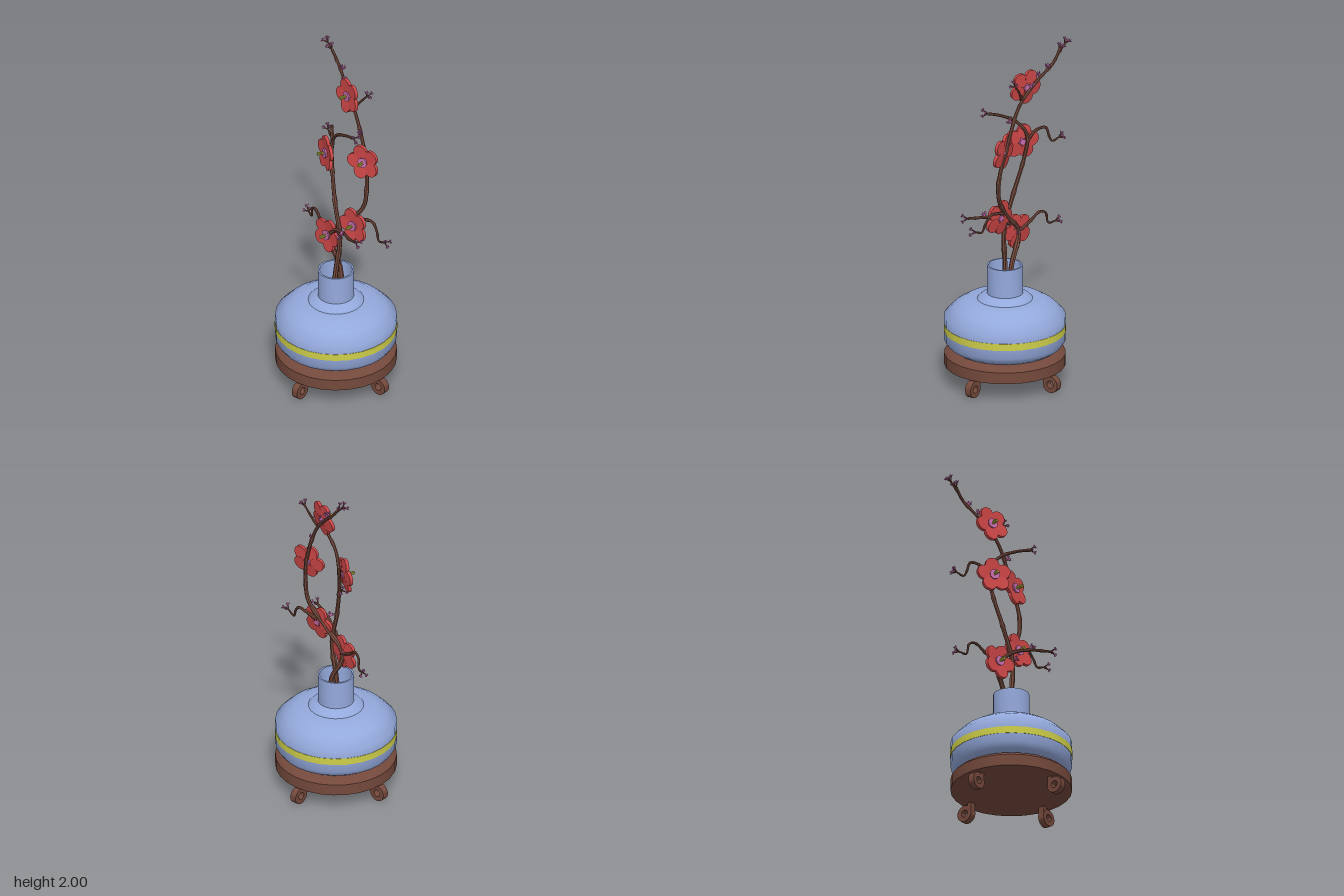
import * as THREE from 'three';
import { toCreasedNormals } from 'three/addons/utils/BufferGeometryUtils.js';

const paint = (color, extra = {}) => new THREE.MeshStandardMaterial({ color, ...extra });
const blue = paint(0x94a9dc, { side: THREE.DoubleSide });
const yellow = paint(0xcfcf4a);
const brown = paint(0x74493c);
const bark = paint(0x74493c, { flatShading: true });
const red = paint(0xcc4646);
const pink = paint(0xcc6fb0, { side: THREE.DoubleSide, flatShading: true });
const UP = new THREE.Vector3(0, 1, 0);
const vec = (p) => new THREE.Vector3(...p);

function add(parent, name, geometry, material) {
  const mesh = new THREE.Mesh(geometry, material);
  mesh.name = name;
  parent.add(mesh);
  return mesh;
}

function lathe(points, crease) {
  const g = new THREE.LatheGeometry(points.map((p) => new THREE.Vector2(...p)), 28);
  return crease ? toCreasedNormals(g, crease) : g;
}

// Tube that tapers from r0 to r1, with slight swellings like knots
function branchGeometry(curve, r0, r1, segments = 24, sides = 7) {
  const g = new THREE.TubeGeometry(curve, segments, 1, sides);
  const pos = g.attributes.position;
  const v = new THREE.Vector3();
  for (let i = 0; i < pos.count; i++) {
    const ring = Math.floor(i / (sides + 1));
    const t = ring / segments;
    const centre = curve.getPointAt(t);
    const knot = ring % 6 === 3 ? 1.25 : 1;
    v.fromBufferAttribute(pos, i).sub(centre).multiplyScalar((r0 + (r1 - r0) * t) * knot).add(centre);
    pos.setXYZ(i, v.x, v.y, v.z);
  }
  return g;
}

// Small bud: a flared cup with a crown of pointed petals, growing along +y
function makeBud(size) {
  const bud = new THREE.Group();
  bud.name = 'bud';
  add(bud, 'budCup', new THREE.CylinderGeometry(size * 0.8, size * 0.35, size, 6, 1, true).translate(0, size / 2, 0), pink);
  for (let i = 0; i < 6; i++) {
    const g = new THREE.ConeGeometry(size * 0.4, size * 1.1, 3);
    g.rotateZ(-0.4).translate(size * 0.85, size * 1.3, 0).rotateY(i * Math.PI / 3);
    add(bud, 'budPetal', g, pink);
  }
  return bud;
}

function placeBud(parent, p, dir, size = 0.013) {
  const bud = makeBud(size);
  bud.position.copy(p);
  bud.quaternion.setFromUnitVectors(UP, dir.clone().normalize());
  parent.add(bud);
}

// Three splayed twigs, each ending in a bud
function makeSpray(parent, at, dir) {
  const spray = new THREE.Group();
  spray.name = 'budSpray';
  for (let i = 0; i < 3; i++) {
    const a = i * Math.PI * 2 / 3;
    const d = new THREE.Vector3(Math.cos(a) * 0.7, 1, Math.sin(a) * 0.7).normalize();
    const end = d.clone().multiplyScalar(0.024);
    add(spray, 'twig', new THREE.TubeGeometry(new THREE.LineCurve3(new THREE.Vector3(), end), 1, 0.004, 5), bark);
    placeBud(spray, end, d, 0.010);
  }
  spray.position.copy(at);
  spray.quaternion.setFromUnitVectors(UP, dir);
  parent.add(spray);
}

function makeBranch(parent, name, points, r0, r1) {
  const curve = new THREE.CatmullRomCurve3(points.map(vec));
  add(parent, name, branchGeometry(curve, r0, r1, points.length * 5), bark);
  makeSpray(parent, curve.getPoint(1), curve.getTangent(1));
  return curve;
}

// Five-petalled blossom facing +y, with a pink heart and yellow stamens
function makeBlossom(parent, at, facing, spin) {
  const blossom = new THREE.Group();
  blossom.name = 'blossom';
  for (let i = 0; i < 5; i++) {
    const g = new THREE.CylinderGeometry(0.042, 0.042, 0.018, 18);
    g.rotateZ(0.12).translate(0.06, 0.004, 0).rotateY(spin + i * Math.PI * 0.4);
    add(blossom, 'petal', toCreasedNormals(g, 0.7), red);
  }
  add(blossom, 'heart', new THREE.CylinderGeometry(0.03, 0.018, 0.034, 8).translate(0, 0.004, 0), pink);
  for (let i = 0; i < 3; i++) {
    const g = new THREE.CylinderGeometry(0.005, 0.004, 0.04, 6).translate(0.006, 0.038, 0);
    add(blossom, 'stamen', g.rotateY(i * Math.PI * 2 / 3), yellow);
  }
  blossom.position.copy(vec(at));
  blossom.quaternion.setFromUnitVectors(UP, vec(facing).normalize());
  parent.add(blossom);
}

export function createModel() {
  const model = new THREE.Group();
  model.name = 'blossomVase';

  // Vase: rounded body, sloping collar, hollow neck and a band
  add(model, 'vaseBody', lathe([[0, 0.2], [0.285, 0.2], [0.315, 0.22], [0.335, 0.25], [0.335, 0.39],
    [0.28, 0.445], [0.22, 0.482], [0.15, 0.487]], 1.1), blue);
  add(model, 'vaseCollar', lathe([[0.155, 0.485], [0.13, 0.508], [0.095, 0.521]]), blue);
  add(model, 'vaseNeck', lathe([[0.1, 0.515], [0.1, 0.6], [0.1, 0.683], [0.09, 0.683], [0.09, 0.52], [0, 0.52]], 0.6), blue);
  add(model, 'vaseBand', lathe([[0.33, 0.3], [0.337, 0.3], [0.337, 0.34], [0.33, 0.34]], 0.6), yellow);

  // Stand with four scroll feet
  add(model, 'stand', lathe([[0, 0.105], [0.335, 0.105], [0.335, 0.17], [0.315, 0.19], [0.285, 0.2], [0, 0.2]], 0.7), brown);
  const ring = new THREE.Shape().absarc(0, 0, 0.048, 0, Math.PI * 2);
  ring.holes.push(new THREE.Path().absarc(0, 0, 0.021, 0, Math.PI * 2, true));
  const scroll = new THREE.ExtrudeGeometry(ring, { depth: 0.038, bevelEnabled: false, curveSegments: 16 });
  scroll.translate(0, 0, -0.019);
  for (let i = 0; i < 4; i++) {
    const foot = new THREE.Group();
    foot.name = 'foot';
    foot.rotation.y = i * Math.PI / 2;
    add(foot, 'footScroll', toCreasedNormals(scroll, 0.7), brown).position.set(0.313, 0.048, 0);
    add(foot, 'footStem', new THREE.BoxGeometry(0.026, 0.06, 0.036), brown).position.set(0.279, 0.08, 0);
    model.add(foot);
  }

  // Two main stems
  const tall = makeBranch(model, 'tallStem', [[0.03, 0.53, 0.01], [0.04, 0.68, -0.005], [0.035, 0.86, -0.08],
    [0.04, 0.99, 0.04], [0.06, 1.12, 0.145], [0.07, 1.24, 0.16], [0.1, 1.43, 0.125], [0.125, 1.66, 0.035],
    [0.17, 1.78, -0.07], [0.215, 1.87, -0.165], [0.22, 1.93, -0.21]], 0.015, 0.008);
  const short = makeBranch(model, 'shortStem', [[-0.01, 0.53, -0.01], [0, 0.68, 0], [0.01, 0.9, 0.02],
    [0.03, 1.08, -0.03], [0.07, 1.3, -0.085], [0.085, 1.43, -0.095], [0.05, 1.52, -0.04],
    [0.01, 1.58, 0.06], [-0.02, 1.61, 0.14]], 0.015, 0.008);

  // Side branches and curling twigs
  makeBranch(model, 'frontBranch', [[0.035, 0.86, -0.08], [0, 0.94, 0], [-0.05, 0.98, 0.1],
    [-0.085, 0.99, 0.17], [-0.1, 1.0, 0.22]], 0.013, 0.007);
  makeBranch(model, 'backCurl', [[0.035, 0.86, -0.08], [0.06, 0.9, -0.15], [0.085, 0.945, -0.215],
    [0.1, 0.93, -0.25], [0.11, 0.87, -0.262], [0.13, 0.875, -0.3]], 0.01, 0.005);
  makeBranch(model, 'frontCurl', [[0.05, 1.02, 0.09], [0.06, 1.045, 0.16], [0.055, 1.05, 0.22],
    [0.045, 1.01, 0.255], [0.035, 0.965, 0.275], [0.025, 0.98, 0.325]], 0.01, 0.005);
  makeBranch(model, 'upperCurl', [[0.085, 1.4, -0.095], [0.12, 1.46, -0.125], [0.16, 1.475, -0.16],
    [0.175, 1.42, -0.175], [0.185, 1.39, -0.19], [0.205, 1.405, -0.222]], 0.01, 0.005);
  makeBranch(model, 'upperTwig', [[0.13, 1.69, 0.025], [0.14, 1.75, 0.07], [0.14, 1.79, 0.105]], 0.008, 0.005);
  makeBranch(model, 'tipTwig', [[0.21, 1.87, -0.165], [0.225, 1.92, -0.21], [0.23, 1.955, -0.245]], 0.007, 0.004);

  // Large blossoms: position, facing, spin
  const blossoms = [
    [[0.13, 1.75, -0.015], [-0.93, 0.1, -0.3], 0.2],
    [[0.085, 1.4, 0.13], [-1, 0.1, 0.1], 0.5],
    [[0.045, 1.385, -0.1], [-0.85, 0.05, -0.5], 0.9],
    [[0.035, 0.995, 0.1], [-1, 0.1, -0.1], 0.3],
    [[0.03, 0.865, -0.08], [-1, 0.05, -0.2], 0.7],
  ];
  for (const [at, facing, spin] of blossoms) makeBlossom(model, at, facing, spin);

  // Single buds growing straight from the stems
  for (const [curve, t, out] of [[tall, 0.7, [-0.6, 0.5, 0.4]], [tall, 0.83, [0.3, 1, -0.2]],
    [tall, 0.88, [-0.3, 1, 0.2]], [tall, 0.92, [0.2, 1, 0.3]], [short, 0.3, [-1, 0.5, 0.5]]]) {
    const p = curve.getPointAt(t);
    placeBud(model, p.addScaledVector(vec(out).normalize(), 0.012), vec(out), 0.016);
  }
  placeBud(model, vec([-0.06, 0.985, 0.1]), vec([-0.6, 0.6, 0]), 0.016);
  return model;
}
